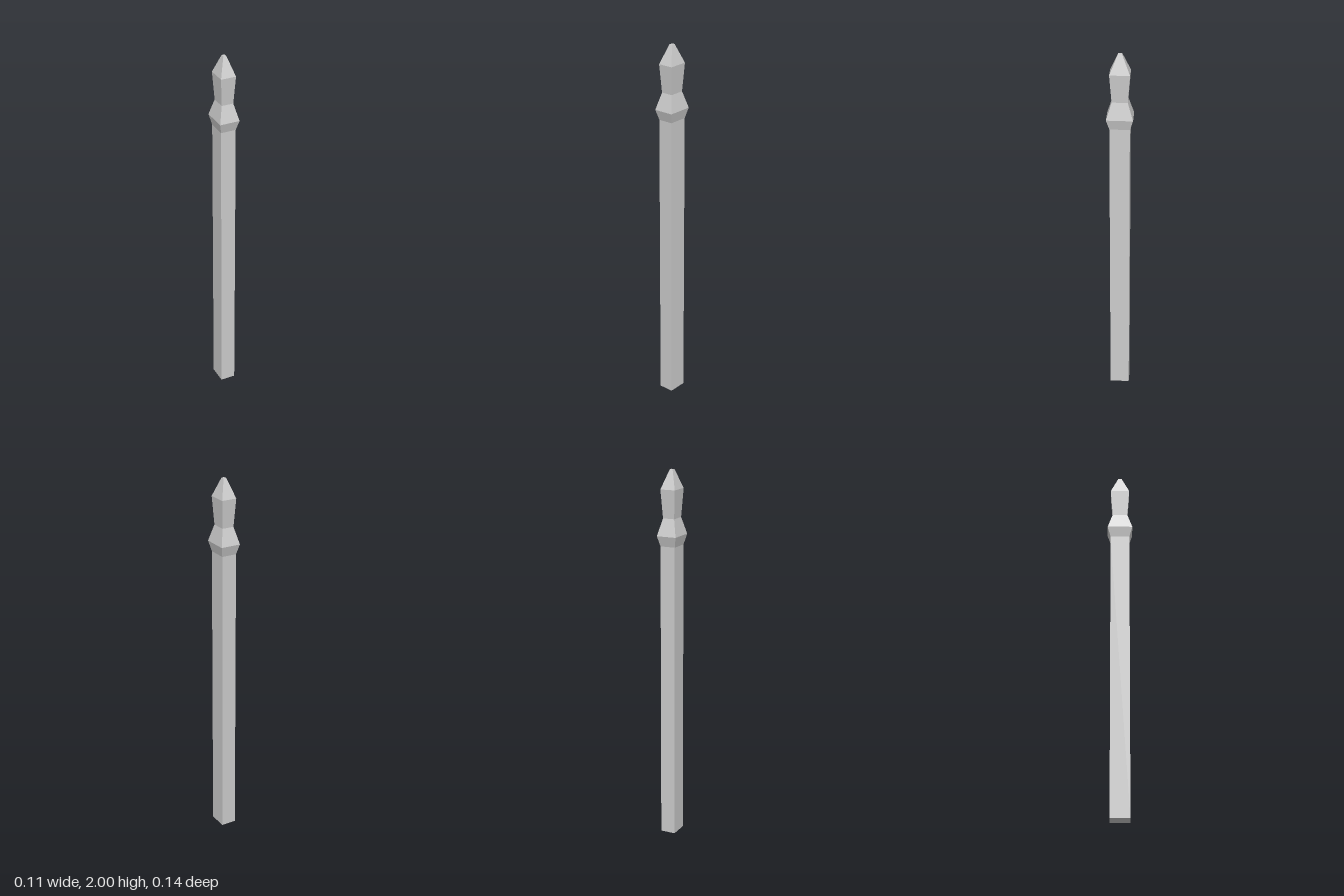
import * as THREE from 'three';

const DEPTH_RATIO = 1.27; // section is deeper (z) than wide (x)

// Four-sided lathe: profile entries are [half width in x, height]
function squareTurned(name, profile, material) {
  const points = profile.map(([half, y]) => new THREE.Vector2(half * Math.SQRT2, y));
  const geometry = new THREE.LatheGeometry(points, 4, Math.PI / 4).toNonIndexed();
  geometry.scale(1, 1, DEPTH_RATIO);
  geometry.computeVertexNormals();
  const mesh = new THREE.Mesh(geometry, material);
  mesh.name = name;
  return mesh;
}

export function createModel() {
  const group = new THREE.Group();
  group.name = 'fencePost';
  const material = new THREE.MeshStandardMaterial({ color: 0xcccccc, flatShading: true });

  // Straight shaft, closed underneath
  group.add(squareTurned('shaft', [[0, 0], [0.041, 0], [0.041, 1.605]], material));
  // Flared collar
  group.add(squareTurned('collar', [[0.041, 1.605], [0.054, 1.66], [0.032, 1.75]], material));
  // Neck widening up to the spear tip
  group.add(squareTurned('neck', [[0.032, 1.75], [0.041, 1.9]], material));
  // Blunt pyramid tip
  group.add(squareTurned('tip', [[0.041, 1.9], [0.008, 2], [0, 2]], material));

  return group;
}
